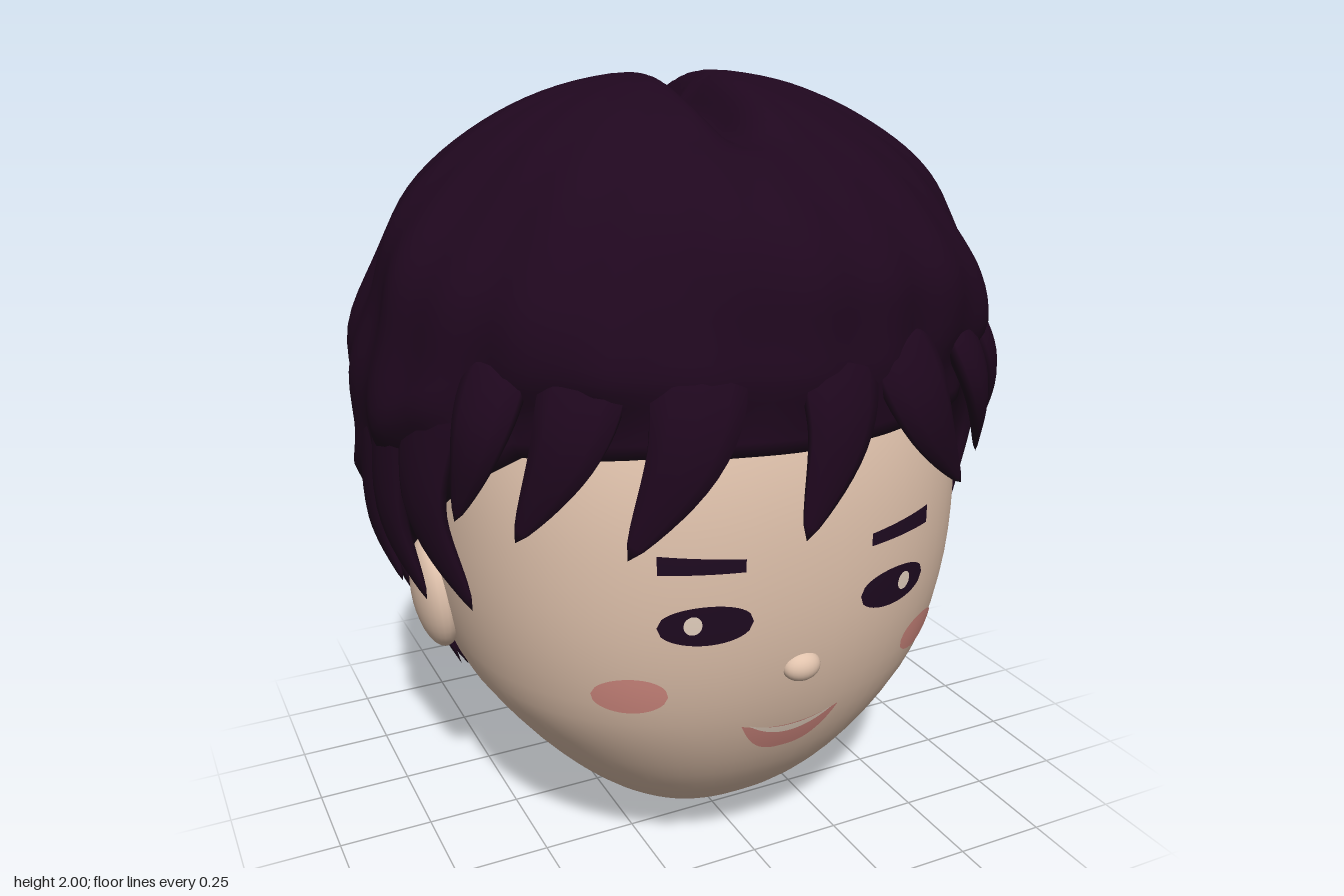
import * as THREE from 'three';
import { mergeVertices } from 'three/addons/utils/BufferGeometryUtils.js';

const { sin, cos, PI, sqrt, abs, pow, max, min, sign } = Math;
const rad = PI / 180;
const clamp01 = t => max(0, min(1, t));
const material = (name, color) => Object.assign(new THREE.MeshStandardMaterial({ color }), { name });

// Smooth surface from fn(u, v) -> [x, y, z]; u runs right, v runs down, seen from outside.
function surface(nu, nv, fn) {
  const pos = [], index = [];
  for (let i = 0; i <= nv; i++)
    for (let j = 0; j <= nu; j++) pos.push(...fn(j / nu, i / nv));
  for (let i = 0; i < nv; i++)
    for (let j = 0; j < nu; j++) {
      const a = i * (nu + 1) + j, b = a + nu + 1;
      index.push(a, b, b + 1, a, b + 1, a + 1);
    }
  let g = new THREE.BufferGeometry();
  g.setAttribute('position', new THREE.Float32BufferAttribute(pos, 3));
  g.setIndex(index);
  g = mergeVertices(g, 1e-5);
  g.computeVertexNormals();
  return g;
}

// Egg-shaped head: radius at height y, narrowed across the chin, slightly flat across the face.
function headRadius(y) {
  const u = y < 0.95 ? (0.95 - y) / 0.95 : (y - 0.95) / 0.85;
  return 0.71 * sqrt(max(0, 1 - pow(u, 2.2)));
}
const chin = y => 1 - 0.18 * clamp01((0.5 - y) / 0.45);
const headZ = 0.04, headDepth = 0.98, faceCurve = 2.3;

function headPoint(a, y, grow = 0) {
  const s = sin(a), c = cos(a), r = headRadius(y) + grow, e = c > 0 ? 2 / faceCurve : 1;
  return [chin(y) * r * sign(s) * pow(abs(s), e), y, headZ + headDepth * r * sign(c) * pow(abs(c), e)];
}
function faceDepth(x, y) {
  const r = headRadius(y);
  return headZ + headDepth * r * pow(1 - pow(abs(x) / (r * chin(y)), faceCurve), 1 / faceCurve);
}

// Point on the hair volume at angle deg (0 = front, 90 = model's left) and height y.
function hairPoint(deg, y, out = 0) {
  const s = sin(deg * rad), c = cos(deg * rad);
  const u = clamp01((y - 1.15) / 0.85);
  const p = 2.3 * s * s + (c > 0 ? 2.9 - clamp01((u - 0.465) / 0.385) : 1.88) * c * c;
  const k = y > 1.15 ? pow(1 - pow(u, p), 1 / p) : sqrt(1 - pow((1.15 - y) / 1.35, 2));
  return new THREE.Vector3(s * (0.855 * k + out), y, c * ((c > 0 ? 0.76 : 0.77) * k + out));
}

// Height of the hairline by angle away from the front.
const hairline = [[0, 1.21], [30, 1.22], [55, 1.2], [70, 1.1], [85, 0.97], [97, 0.9],
  [111, 0.72], [123, 0.61], [133, 0.5], [142, 0.34], [181, 0.3]];
function hemY(deg) {
  const d = abs(deg), i = hairline.findIndex(h => h[0] > d);
  const [a, b] = [hairline[i - 1], hairline[i]];
  return a[1] + (b[1] - a[1]) * (d - a[0]) / (b[0] - a[0]);
}

// Hair cap with soft strand ridges, a parting at the crown and an edge turned in to the head.
function hairCap() {
  const rows = 40;
  return surface(144, rows, (u, v) => {
    const deg = u * 360 - 180, a = deg * rad, hem = hemY(deg);
    const t = min(1, v * rows / (rows - 1));
    const y = hem + (2 - hem) * cos(t * PI / 2);
    const p = hairPoint(deg, y);
    const ridge = 1 + 0.013 * sin(9 * a + 5 * y) + 0.009 * sin(23 * a - 3 * y) + 0.012 * sin(16 * y + 4 * a);
    p.x *= ridge;
    p.z *= ridge;
    // thin towards the hairline, most of all over the forehead
    const front = abs(deg) < 110;
    const thin = clamp01(1 - (y - hem) / (front ? 0.17 : 0.12)) * (front ? 0.85 : 0.3);
    const m = v === 1 ? 1 : thin;
    const [hx, , hz] = headPoint(a, y, v === 1 ? -0.02 : 0.012);
    const notch = 0.1 * Math.exp(-pow(p.x / 0.055, 2)) * clamp01((y - 1.84) / 0.12);
    return [p.x + (hx - p.x) * m, y - notch, p.z + (hz - p.z) * m];
  });
}

// Tapered lock following [angle, height, outward offset] points over the hair volume.
function lock(points, width, thick, taper = 0.7) {
  const curve = new THREE.CatmullRomCurve3(points.map(([d, y, o]) => hairPoint(d, y, o)));
  return surface(10, 16, (u, v) => {
    const p = curve.getPoint(v), T = curve.getTangent(v);
    const n = new THREE.Vector3(p.x, 0, p.z).normalize();
    const s = new THREE.Vector3().crossVectors(n, T).normalize();
    n.crossVectors(T, s).normalize();
    const w = v === 0 || v === 1 ? 0 : pow(sin(PI * sqrt(v)), taper), a = u * 2 * PI;
    p.addScaledVector(s, sin(a) * w * width).addScaledVector(n, cos(a) * w * thick);
    return [p.x, p.y, p.z];
  });
}

// Thin patch lying on the face between the curves lo(t) and hi(t), t from -1 to 1.
function facePatch(cx, cy, half, lo, hi, lift) {
  return surface(24, 6, (u, v) => {
    const t = u * 2 - 1, x = cx + t * half, top = hi(t), y = cy + top + (lo(t) - top) * v;
    return [x, y, faceDepth(x, y) + lift];
  });
}
const arc = (h, power = 0.5) => t => h * pow(max(0, 1 - t * t), power);

export function createModel() {
  const root = new THREE.Group();
  root.name = 'head';
  const skin = material('skin', 0xe1c3ad);
  const hair = material('dark hair', 0x1f071e);
  const ink = material('eye dark', 0x1e0a20);
  const blush = material('blush', 0xd88e84);
  const lip = material('lip', 0xd0887f);
  const pale = material('pale highlight', 0xe8d4c2);

  const add = (name, geometry, mat, parent = root) => {
    const m = new THREE.Mesh(geometry, mat);
    m.name = name;
    parent.add(m);
    return m;
  };

  // Head
  add('face', surface(72, 44, (u, v) => headPoint(u * 2 * PI - PI, 0.9 + 0.9 * cos(v * PI))), skin);

  const nose = add('nose', new THREE.SphereGeometry(1, 24, 16), skin);
  nose.scale.set(0.05, 0.038, 0.035);
  nose.position.set(0, 0.658, 0.705);

  // Paired features
  for (const s of [-1, 1]) {
    const side = s > 0 ? 'left' : 'right';
    const ear = add(side + 'Ear', new THREE.SphereGeometry(1, 24, 18), skin);
    ear.scale.set(0.06, 0.155, 0.11);
    ear.position.set(s * 0.695, 0.695, 0);
    ear.rotation.z = -s * 0.1;

    add(side + 'Eye', facePatch(s * 0.255, 0.818, 0.109, t => -arc(0.052, 0.45)(t),
      arc(0.05, 0.45), 0.006), ink);
    add(side + 'EyeGlint', facePatch(s * 0.288, 0.822, 0.021, t => -arc(0.024)(t),
      arc(0.024), 0.009), pale);
    add(side + 'Brow', facePatch(s * 0.267, 0.97, 0.098, t => -0.021 + 0.003 * s * t,
      t => 0.018 + 0.01 * s * t, 0.007), ink);
    add(side + 'Cheek', facePatch(s * 0.405, 0.622, 0.078, t => -arc(0.052)(t),
      arc(0.052), 0.006), blush);
  }

  // Smiling mouth with a thin strip of teeth
  const upper = t => 0.475 + 0.027 * t * t;
  add('lips', facePatch(0, 0, 0.137, t => 0.395 + 0.107 * pow(abs(t), 2.7), upper, 0.006), lip);
  add('teeth', facePatch(0, 0, 0.12, t => upper(t) - 0.022 * (1 - t * t), upper, 0.009), pale);

  // Hair
  const hairGroup = new THREE.Group();
  hairGroup.name = 'hair';
  root.add(hairGroup);
  add('hairCap', hairCap(), hair, hairGroup);

  // Fringe: root angle, root height, tip angle, tip height, width, tip offset
  [[-18, 1.46, -30, 1.0, 0.11, 0.02], [5, 1.46, -3, 1.02, 0.105, 0.03], [17, 1.46, 35, 1.02, 0.11, 0.015],
    [-36, 1.46, -48, 1.02, 0.1, 0.01], [38, 1.44, 49, 1.04, 0.085, 0], [-52, 1.44, -60, 1.04, 0.085, 0],
    [54, 1.44, 61, 1.05, 0.08, 0]]
    .forEach(([a0, y0, a1, y1, w, out]) => add('fringeLock', lock([[a0, y0, -0.05],
      [a0 + (a1 - a0) * 0.25, y0 * 0.55 + y1 * 0.45, 0.005], [a1, y1, out]], w, 0.035), hair, hairGroup));

  // Temple locks curling forward, on both sides
  for (const s of [-1, 1])
    [[64, 1.46, 70, 1.05, 62, 0.78, 0.1], [78, 1.4, 83, 0.98, 77, 0.75, 0.09],
      [92, 1.3, 97, 0.9, 92, 0.73, 0.08], [104, 1.15, 109, 0.84, 106, 0.7, 0.075]]
      .forEach(([a0, y0, a1, y1, a2, y2, w]) => add('templeLock', lock([[s * a0, y0, -0.04],
        [s * a1, y1, -0.03], [s * a2, y2, -0.04]], w, 0.035), hair, hairGroup));

  // Long overlapping strands down the back
  for (let i = 0; i < 13; i++) {
    const a = 144 + i * 7.8, wave = sin(i * 2.3);
    add('backStrand', lock([[a, 1.62 + 0.05 * wave, -0.01], [a + 2 * wave, 1.15, 0.01],
      [a + 1, 0.7, 0.01], [a + 2 * wave, 0.29 + 0.02 * abs(wave), -0.04]], 0.095, 0.032, 0.5), hair, hairGroup);
  }

  // Pointed loose locks behind the ears, longer on the right
  [[-112, -99, 0.42, -0.1], [-120, -114, 0.35, -0.1], [-132, -130, 0.31, -0.08], [120, 118, 0.57, -0.03]]
    .forEach(([a, tipA, tip, out]) => add('napeLock', lock([[a, 1.3, -0.04], [a, 0.8, -0.03],
      [tipA, tip, out]], 0.095, 0.035), hair, hairGroup));

  return root;
}
